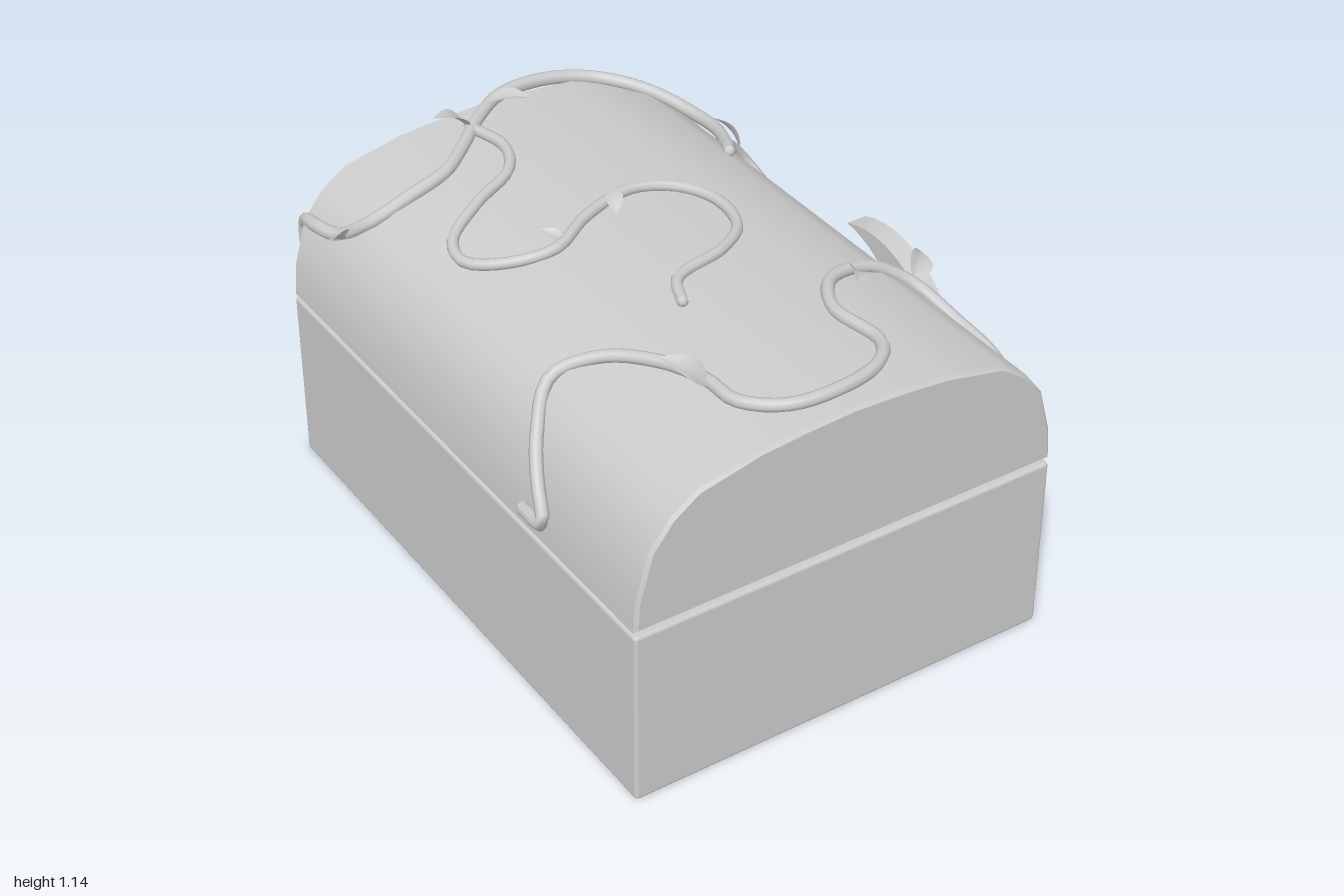
import * as THREE from 'three';
import { toCreasedNormals } from 'three/addons/utils/BufferGeometryUtils.js';
import { RoundedBoxGeometry } from 'three/addons/geometries/RoundedBoxGeometry.js';

const grey = new THREE.MeshStandardMaterial({ color: 0xcccccc });
const thin = new THREE.MeshStandardMaterial({ color: 0xcccccc, side: THREE.DoubleSide });
const CX = -0.053; // chest centre in x

// Half of the lid's arch: distance from its centre line, height
const ARCH = [[0, 1.06], [0.16, 1.052], [0.31, 1.038], [0.505, 0.995], [0.59, 0.935], [0.655, 0.85], [0.697, 0.7], [0.705, 0.6]];

function lidHeight(x) {
  const d = Math.abs(x - CX);
  for (let i = 1; i < ARCH.length; i++) {
    const [a, ya] = ARCH[i - 1], [b, yb] = ARCH[i];
    if (d <= b) return ya + (yb - ya) * (d - a) / (b - a);
  }
  return 0.6;
}

function part(name, geometry, material = grey) {
  const mesh = new THREE.Mesh(geometry, material);
  mesh.name = name;
  return mesh;
}

function makeLid() {
  const right = ARCH.map(([d, y]) => new THREE.Vector2(CX + d, y)).reverse();
  const left = ARCH.slice(1).map(([d, y]) => new THREE.Vector2(CX - d, y));
  const bevel = 0.01;
  const geometry = new THREE.ExtrudeGeometry(new THREE.Shape([...right, ...left]), {
    depth: 1.95 - 2 * bevel, bevelThickness: bevel, bevelSize: bevel, bevelOffset: -bevel, bevelSegments: 1,
  });
  geometry.translate(0, 0, -0.95 + bevel);
  return part('lid', toCreasedNormals(geometry, 0.6));
}

// Points are [x, z] lying on the lid, or [x, z, y] where the vine hangs over a side
function makeVine(name, points, radius) {
  const path = points.map(([x, z, y]) => new THREE.Vector3(x, y ?? lidHeight(x) + 0.012, z));
  const curve = new THREE.CatmullRomCurve3(path);
  const vine = new THREE.Group();
  vine.name = name;
  vine.add(part('stem', new THREE.TubeGeometry(curve, points.length * 4, radius, 8)));
  for (const end of [path[0], path[path.length - 1]]) {
    const cap = part('stemEnd', new THREE.SphereGeometry(radius, 8, 6));
    cap.position.copy(end);
    vine.add(cap);
  }
  return vine;
}

// Pointed leaf, folded along its midrib and arched from base to tip
function makeLeaf(base, tip, width) {
  const from = new THREE.Vector3(...base);
  const along = new THREE.Vector3(...tip).sub(from);
  const length = along.length();
  const out = new THREE.Vector3(from.x - CX, from.y - 0.35, 0).normalize();
  const side = new THREE.Vector3().crossVectors(along, out).normalize();
  const normal = new THREE.Vector3().crossVectors(side, along).normalize();
  const geometry = new THREE.PlaneGeometry(1, 1, 4, 8);
  const pos = geometry.attributes.position;
  for (let i = 0; i < pos.count; i++) {
    const u = pos.getX(i), t = pos.getY(i) + 0.5;
    const spread = width * Math.sin(Math.PI * Math.pow(t, 0.8));
    const p = from.clone().addScaledVector(along, t)
      .addScaledVector(side, u * spread)
      .addScaledVector(normal, 0.12 * length * Math.sin(Math.PI * t) + 0.35 * Math.abs(u) * spread);
    pos.setXYZ(i, p.x, p.y, p.z);
  }
  geometry.computeVertexNormals();
  return part('leaf', geometry, thin);
}

function makeClasp() {
  const clasp = new THREE.Group();
  clasp.name = 'clasp';
  // Crescent moon plate
  const moon = new THREE.Shape();
  moon.absarc(-0.147, 0, 0.3425, 1.189, 2 * Math.PI - 1.189, false);
  moon.absarc(0, 0, 0.317, -1.634, 1.634, true);
  const plate = new THREE.ExtrudeGeometry(moon, { depth: 0.07, bevelEnabled: false, curveSegments: 14 });
  plate.rotateY(Math.PI / 2);
  const crescent = part('crescent', toCreasedNormals(plate, 0.6));
  crescent.position.set(0.643, 0.562, 0);
  // Round setting with a raised rim
  const rim = [[0, 0], [0.222, 0], [0.222, 0.03], [0.215, 0.04], [0.203, 0.04], [0.195, 0.028], [0, 0.028]]
    .map(([r, h]) => new THREE.Vector2(r, h));
  const setting = part('setting', toCreasedNormals(new THREE.LatheGeometry(rim, 40), 0.6));
  setting.rotation.z = -Math.PI / 2;
  setting.position.set(0.64, 0.558, 0.022);
  // Domed stone
  const stone = part('stone', new THREE.SphereGeometry(0.193, 32, 20));
  stone.scale.x = 0.72;
  stone.position.set(0.65, 0.558, 0.022);
  clasp.add(crescent, setting, stone);
  return clasp;
}

export function createModel() {
  const model = new THREE.Group();
  model.name = 'chest';

  const body = part('body', new RoundedBoxGeometry(1.41, 0.585, 1.95, 2, 0.012));
  body.position.set(CX, 0.2925, 0.025);
  model.add(body, makeLid(), makeClasp());

  model.add(
    makeVine('backVine', [
      [-0.68, -0.975, 0.54], [-0.69, -0.975, 0.7], [-0.69, -0.97, 0.83], [-0.705, -0.87, 0.87], [-0.68, -0.77, 0.88],
      [-0.62, -0.66], [-0.5, -0.64], [-0.365, -0.66], [-0.26, -0.74], [-0.13, -0.86], [0, -0.945], [0.165, -0.97],
      [0.32, -0.935], [0.455, -0.82], [0.56, -0.71, 0.94], [0.64, -0.66, 0.86], [0.665, -0.64, 0.755],
      [0.675, -0.71, 0.63], [0.675, -0.8, 0.575], [0.67, -0.9, 0.57]], 0.022),
    makeVine('branchVine', [
      [-0.18, -0.83], [-0.15, -0.67], [-0.21, -0.545], [-0.365, -0.46], [-0.51, -0.36], [-0.535, -0.25],
      [-0.445, -0.15], [-0.31, -0.11], [-0.155, -0.195], [0.04, -0.25], [0.17, -0.195], [0.23, -0.08],
      [0.2, 0.07], [0.085, 0.165], [-0.115, 0.23], [-0.165, 0.33]], 0.018),
    makeVine('frontVine', [
      [-0.775, 0.46, 0.68], [-0.78, 0.57, 0.7], [-0.75, 0.5, 0.8], [-0.7, 0.42, 0.88], [-0.6, 0.33], [-0.47, 0.385],
      [-0.36, 0.53], [-0.31, 0.67], [-0.3, 0.79], [-0.205, 0.89], [-0.05, 0.915], [0.11, 0.87], [0.19, 0.78],
      [0.175, 0.58], [0.27, 0.44], [0.43, 0.41], [0.55, 0.46, 0.94], [0.605, 0.6, 0.87], [0.63, 0.75, 0.82],
      [0.66, 0.8, 0.73], [0.67, 0.84, 0.62], [0.67, 0.91, 0.57]], 0.02),
    makeVine('sideVine', [
      [0.48, -0.38], [0.52, -0.445, 0.965], [0.6, -0.465, 0.87], [0.645, -0.38, 0.77],
      [0.66, -0.33, 0.68], [0.67, -0.39, 0.58]], 0.02),
  );

  // Leaves: base, tip, width
  const leaves = [
    [[-0.18, 1.06, -0.83], [-0.31, 1.14, -0.82], 0.08],
    [[-0.08, 1.08, -0.9], [0.04, 1.105, -0.81], 0.07],
    [[-0.66, 0.88, -0.72], [-0.745, 0.92, -0.685], 0.07],
    [[0.67, 0.73, -0.64], [0.73, 0.65, -0.56], 0.07],
    [[0.58, 0.92, -0.465], [0.545, 0.995, -0.56], 0.08],
    [[-0.27, 1.05, -0.12], [-0.32, 1.085, -0.185], 0.04],
    [[-0.085, 1.08, -0.14], [-0.04, 1.11, -0.225], 0.05],
    [[-0.32, 1.05, 0.69], [-0.43, 1.14, 0.61], 0.08],
    [[0.36, 1.03, 0.43], [0.285, 1.08, 0.545], 0.07],
    [[0.555, 0.95, 0.455], [0.655, 0.96, 0.355], 0.08],
  ];
  for (const leaf of leaves) model.add(makeLeaf(...leaf));
  return model;
}
